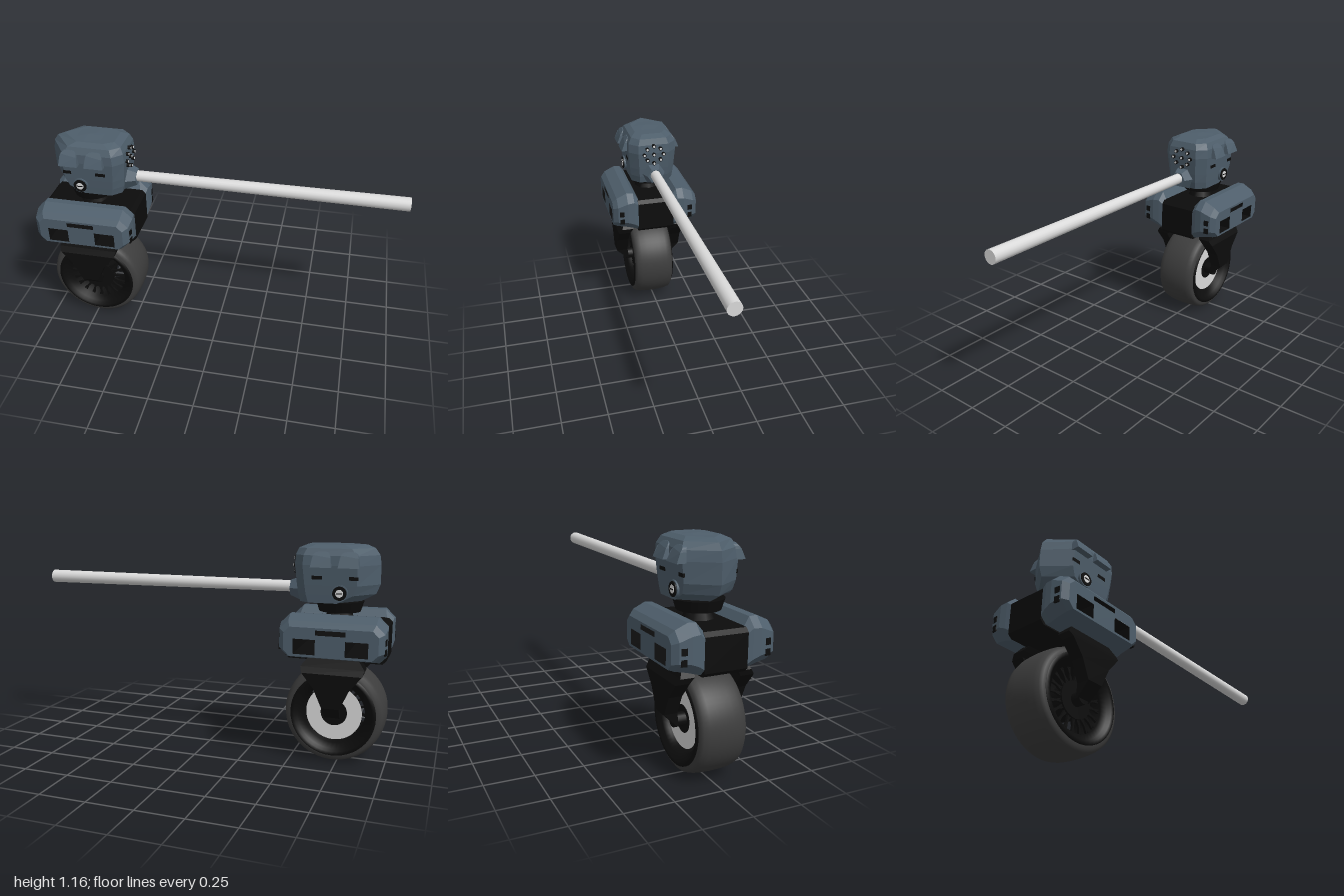
import * as THREE from 'three';

const mat = (name, color, side = THREE.FrontSide) => {
  const m = new THREE.MeshStandardMaterial({ color, side });
  m.name = name;
  return m;
};

// Skin a list of rings (arrays of [x, y, z], counter-clockwise seen from the +z end)
function loft(rings, capStart = true, capEnd = true) {
  const pos = [], n = rings[0].length;
  const tri = (a, b, c) => pos.push(...a, ...b, ...c);
  for (let k = 0; k + 1 < rings.length; k++)
    for (let i = 0; i < n; i++) {
      const j = (i + 1) % n, p = rings[k], q = rings[k + 1];
      tri(p[i], p[j], q[j]);
      tri(p[i], q[j], q[i]);
    }
  const first = rings[0], last = rings[rings.length - 1];
  for (let i = 1; i + 1 < n; i++) {
    if (capStart) tri(first[0], first[i + 1], first[i]);
    if (capEnd) tri(last[0], last[i], last[i + 1]);
  }
  const g = new THREE.BufferGeometry();
  g.setAttribute('position', new THREE.Float32BufferAttribute(pos, 3));
  g.computeVertexNormals();
  return g;
}

const rect = (x0, x1, y0, y1) => [[x0, y0], [x1, y0], [x1, y1], [x0, y1]];
const chamfered = (h, y0, y1, c) => [
  [-h + c, y0], [h - c, y0], [h, y0 + c], [h, y1 - c],
  [h - c, y1], [-h + c, y1], [-h, y1 - c], [-h, y0 + c]];
const atZ = (pts, z) => pts.map(([x, y]) => [x, y, z]);
const toPath = (pts, Type) => new Type(pts.map(([x, y]) => new THREE.Vector2(x, y)));
const withHoles = (pts, holes) => {
  const s = toPath(pts, THREE.Shape);
  s.holes = holes.map(h => toPath(h, THREE.Path));
  return s;
};

export function createModel() {
  const armour = mat('blue grey armour', 0x4e5e6b);
  const black = mat('black metal', 0x0c0c0c, THREE.DoubleSide);
  const rubber = mat('dark grey rubber', 0x3d3d3d);
  const light = mat('light metal', 0xdadada);

  const model = new THREE.Group();
  const root = new THREE.Group();
  root.name = 'robot';
  root.position.x = -0.727;
  model.add(root);
  const add = (name, geo, material, parent = root, x = 0, y = 0, z = 0) => {
    const m = new THREE.Mesh(geo, material);
    m.name = name;
    m.position.set(x, y, z);
    parent.add(m);
    return m;
  };
  const sideGroup = (name, back, parent = root) => {
    const g = new THREE.Group();
    g.name = name;
    g.rotation.y = back ? Math.PI : 0;
    parent.add(g);
    return g;
  };

  // Wheel: tyre, dished rim, hub, spokes and brake ring
  const wheel = new THREE.Group();
  wheel.name = 'wheel';
  wheel.position.set(0, 0.267, 0.012);
  root.add(wheel);
  const lathe = (pts, seg) => new THREE.LatheGeometry(pts.map(p => new THREE.Vector2(...p)), seg).rotateX(Math.PI / 2);
  const half = [[0.222, 0.122], [0.24, 0.119], [0.254, 0.108], [0.262, 0.08], [0.266, 0.04], [0.267, 0]];
  const tyrePts = [...half.map(([r, z]) => [r, -z]), ...half.slice(0, -1).reverse()];
  add('tyre', lathe(tyrePts, 64), rubber, wheel);
  add('rim', lathe([[0.225, -0.11], [0.225, -0.127], [0.205, -0.127], [0.195, -0.105], [0.165, -0.09],
    [0.158, 0], [0.165, 0.09], [0.195, 0.105], [0.205, 0.127], [0.225, 0.127], [0.225, 0.11]], 48), black, wheel);
  add('hub', new THREE.CylinderGeometry(0.095, 0.075, 0.17, 24).rotateX(Math.PI / 2), black, wheel, 0, 0, 0.005);
  add('axle', new THREE.CylinderGeometry(0.035, 0.035, 0.28, 16).rotateX(Math.PI / 2), black, wheel);
  add('brakeRing', new THREE.RingGeometry(0.07, 0.148, 48).rotateY(Math.PI), light, wheel, 0, 0, -0.085);
  for (let i = 0; i < 40; i++) {
    const a = Math.floor(i / 2) * Math.PI / 10;
    const spoke = new THREE.BoxGeometry(0.08, 0.008, 0.012);
    spoke.rotateZ(i % 2 ? 0.17 : -0.17).translate(0.128, 0, 0).rotateZ(a);
    add('spoke', spoke, black, wheel, 0, 0, 0.075);
  }

  // Fork: two bent arms tapering to the axle
  const fork = new THREE.Group();
  fork.name = 'fork';
  fork.position.z = 0.012;
  root.add(fork);
  const armRings = [ // height, inner z, outer z, half width
    [0.25, 0.126, 0.136, 0.04], [0.32, 0.137, 0.207, 0.045], [0.42, 0.137, 0.207, 0.09],
    [0.5, 0.133, 0.207, 0.155], [0.53, 0.115, 0.187, 0.165], [0.575, 0.09, 0.165, 0.13]];
  for (const back of [false, true]) {
    const geo = loft(armRings.map(([y, a, b, w]) => atZ(rect(-w, w, -b, -a), y))).rotateX(-Math.PI / 2);
    add('forkArm', geo, black, sideGroup(back ? 'rearArm' : 'frontArm', back, fork));
  }

  // Body: black core with windows running through it, armoured pod each side
  const windows = [rect(-0.188, -0.075, 0.612, 0.69), rect(0.075, 0.188, 0.612, 0.69), rect(-0.075, 0.075, 0.713, 0.738)];
  const core = new THREE.ExtrudeGeometry(withHoles(chamfered(0.263, 0.556, 0.762, 0.02), windows),
    { depth: 0.22, bevelEnabled: false });
  add('bodyCore', core, black, root, 0, 0, -0.11);
  const podRings = [ // z, half width, bottom, top, corner
    [0.105, 0.262, 0.562, 0.765, 0.03], [0.135, 0.268, 0.568, 0.804, 0.045], [0.175, 0.272, 0.58, 0.806, 0.05],
    [0.235, 0.264, 0.592, 0.778, 0.045], [0.261, 0.237, 0.6, 0.75, 0.03]];
  for (const back of [false, true]) {
    const pod = sideGroup(back ? 'rearPod' : 'frontPod', back);
    add('podShell', loft(podRings.map(([z, ...p]) => atZ(chamfered(...p), z)), false, false), armour, pod);
    const face = chamfered(...podRings[4].slice(1));
    add('podFace', new THREE.ShapeGeometry(withHoles(face, windows)), armour, pod, 0, 0, 0.261);
    for (const w of windows) add('windowTunnel', loft([atZ(w, 0.1), atZ(w, 0.26)], false, false), black, pod);
    for (const s of [-1, 1]) for (const y of [0.64, 0.69]) {
      const vent = add('endVent', new THREE.BoxGeometry(0.008, 0.032, 0.028), black, pod, s * 0.266, y, 0.212);
      vent.rotation.y = -s * 0.13;
    }
  }

  // Neck
  add('neck', new THREE.CylinderGeometry(0.055, 0.085, 0.08, 8), black, root, 0, 0.785);
  add('turntable', new THREE.CylinderGeometry(0.125, 0.108, 0.055, 24), black, root, 0, 0.833);

  // Head: faceted shell, pointed at the back
  const headRings = [ // height, left x, right x, half depth
    [0.857, -0.103, 0.195, 0.125], [0.9, -0.183, 0.207, 0.13], [0.95, -0.203, 0.214, 0.135],
    [1.05, -0.203, 0.225, 0.143], [1.1, -0.195, 0.221, 0.14], [1.135, -0.17, 0.207, 0.122], [1.152, -0.13, 0.167, 0.09]];
  const plan = (l, r, h) => [[l, 0], [l + 0.1, -h], [r - 0.05, -h], [r, -h * 0.65], [r, h * 0.65], [r - 0.05, h], [l + 0.1, h]];
  const headGeo = loft(headRings.map(([y, l, r, h]) => atZ(plan(l, r, h), y))).rotateX(-Math.PI / 2);
  add('head', headGeo, armour);
  add('crown', new THREE.ConeGeometry(0.09, 0.006, 6), armour, root, 0.02, 1.1545);

  // Eye hoods, slits and round port on both sides of the head
  const arch = new THREE.Shape();
  arch.moveTo(-0.052, 1.042).lineTo(0.052, 1.042).lineTo(0.046, 1.09);
  arch.quadraticCurveTo(0.042, 1.118, 0.015, 1.12).lineTo(-0.015, 1.12).quadraticCurveTo(-0.042, 1.118, -0.046, 1.09);
  for (const s of [-1, 1]) {
    const side = new THREE.Group();
    side.name = s > 0 ? 'frontFace' : 'rearFace';
    root.add(side);
    for (const x of [-0.062, 0.078]) {
      const hood = new THREE.ExtrudeGeometry(arch, { depth: 0.06, bevelEnabled: false, curveSegments: 4 });
      const p = hood.attributes.position;
      for (let i = 0; i < p.count; i++)
        if (p.getZ(i) > 0.03) p.setZ(i, 0.03 + Math.min(0.046, (1.125 - p.getY(i)) * 0.75));
      hood.translate(0, 0, 0.1);
      if (s < 0) hood.rotateY(Math.PI);
      hood.computeVertexNormals();
      add('eyeHood', hood, armour, side, x);
    }
    for (const [x, w] of [[-0.085, 0.045], [0.1, 0.055]])
      add('slit', new THREE.BoxGeometry(w, 0.018, 0.008), black, side, x, 0.988, s * 0.136);
    const disc = (r, d) => new THREE.CylinderGeometry(r, r, d, 20).rotateX(Math.PI / 2);
    add('portHousing', disc(0.042, 0.03), armour, side, -0.018, 0.912, s * 0.128);
    add('portRing', disc(0.036, 0.008), black, side, -0.018, 0.912, s * 0.144);
    add('portLens', disc(0.02, 0.006), light, side, -0.018, 0.912, s * 0.147);
    add('portBar', new THREE.BoxGeometry(0.03, 0.005, 0.003), black, side, -0.018, 0.912, s * 0.1505);
  }

  // Diamond of studs on the +x face
  const studs = [[0, 1.095], [0, 1.043], [0, 0.988]];
  for (const s of [-1, 1]) studs.push([s * 0.04, 1.078], [s * 0.058, 1.043], [s * 0.04, 1.01]);
  for (const [z, y] of studs) {
    add('stud', new THREE.CylinderGeometry(0.011, 0.011, 0.022, 10).rotateZ(-Math.PI / 2), black, root, 0.226, y, z);
    add('studTip', new THREE.CylinderGeometry(0.007, 0.007, 0.004, 10).rotateZ(-Math.PI / 2), light, root, 0.237, y, z);
  }

  // Gun: faceted mount and long barrel
  const mount = new THREE.CylinderGeometry(0.046, 0.078, 0.075, 6).toNonIndexed();
  mount.computeVertexNormals();
  add('gunMount', mount.rotateZ(-Math.PI / 2), armour, root, 0.225, 0.918);
  add('barrel', new THREE.CylinderGeometry(0.037, 0.03, 1.487, 20).rotateZ(-Math.PI / 2), light, root, 0.9835, 0.924);

  return model;
}
